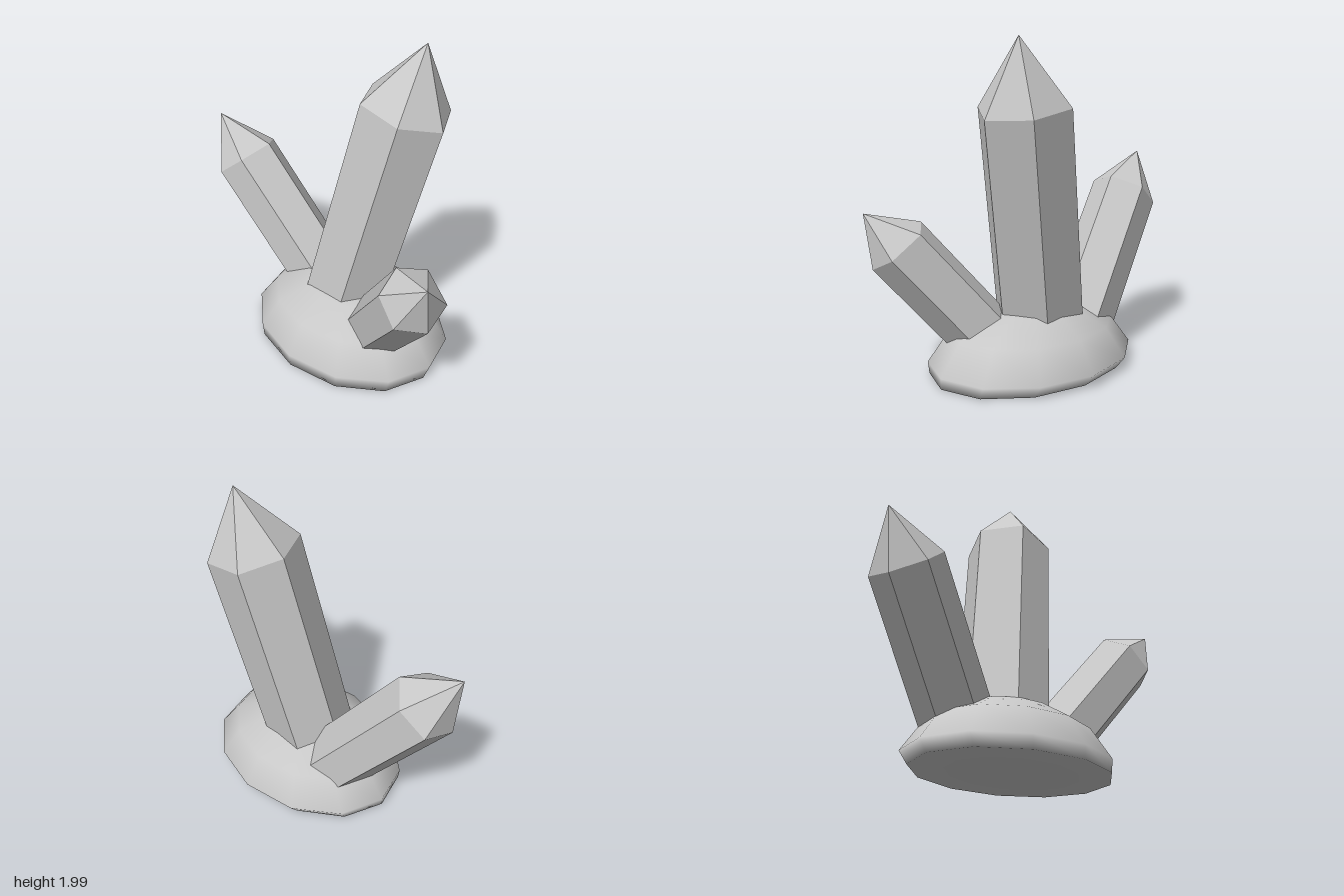
import * as THREE from 'three';

const stone = new THREE.MeshStandardMaterial({ color: 0xc8c8c8 });
stone.name = 'grey stone';

// Six-sided crystal: shoulder ring (counterclockwise from above), pointed tip,
// and the shaft vector that runs from the shoulder down into the rock.
function crystal(name, ring, tip, shaft) {
  const foot = ring.map((p) => p.map((v, k) => v + shaft[k]));
  const n = ring.length;
  const pos = [];
  for (let i = 0; i < n; i++) {
    const j = (i + 1) % n;
    pos.push(...foot[i], ...foot[j], ...ring[j]); // side
    pos.push(...foot[i], ...ring[j], ...ring[i]);
    pos.push(...ring[i], ...ring[j], ...tip); // point
    if (i > 0 && j > 0) pos.push(...foot[0], ...foot[j], ...foot[i]); // underside
  }
  const geo = new THREE.BufferGeometry();
  geo.setAttribute('position', new THREE.Float32BufferAttribute(pos, 3));
  geo.computeVertexNormals(); // unshared corners give flat facets
  const mesh = new THREE.Mesh(geo, stone);
  mesh.name = name;
  return mesh;
}

// Low smooth boulder, oval in plan, with a flat bottom
function rockBase() {
  const profile = [
    [0, 0], [0.6, 0], [0.97, 0], [1, 0.08], [0.8, 0.26], [0.46, 0.375], [0.2, 0.385], [0, 0.385],
  ].map(([r, y]) => new THREE.Vector2(r, y));
  const geo = new THREE.LatheGeometry(profile, 12);
  geo.scale(0.68, 1, 0.54);
  geo.translate(0.08, 0, 0);
  // bottom rim is pushed forward a little, so the back undercuts
  const p = geo.attributes.position;
  for (let i = 0; i < p.count; i++) {
    if (p.getY(i) < 0.01) p.setZ(i, p.getZ(i) * 0.96 + 0.03);
  }
  const mesh = new THREE.Mesh(geo, stone);
  mesh.name = 'rockBase';
  return mesh;
}

export function createModel() {
  const group = new THREE.Group();
  group.name = 'crystalCluster';
  group.add(
    rockBase(),
    crystal(
      'tallCrystal',
      [[0.04, 1.66, -0.21], [0.18, 1.66, 0.04], [0.45, 1.6, 0.03],
        [0.58, 1.54, -0.2], [0.44, 1.55, -0.44], [0.16, 1.6, -0.44]],
      [0.39, 1.99, -0.26],
      [-0.28, -1.35, 0.19],
    ),
    crystal(
      'rightCrystal',
      [[-0.97, 0.84, 0.13], [-0.84, 0.91, 0.28], [-0.68, 1.04, 0.23],
        [-0.64, 1.1, 0.03], [-0.78, 1.03, -0.12], [-0.94, 0.9, -0.08]],
      [-1, 1.23, 0.13],
      [0.58, -0.77, -0.155],
    ),
    crystal(
      'leftCrystal',
      [[0.69, 0.94, 0.27], [0.72, 0.86, 0.44], [0.86, 0.73, 0.47],
        [0.98, 0.69, 0.33], [0.96, 0.77, 0.15], [0.79, 0.9, 0.12]],
      [1, 1.01, 0.38],
      [-0.5, -0.64, -0.23],
    ),
  );
  return group;
}
